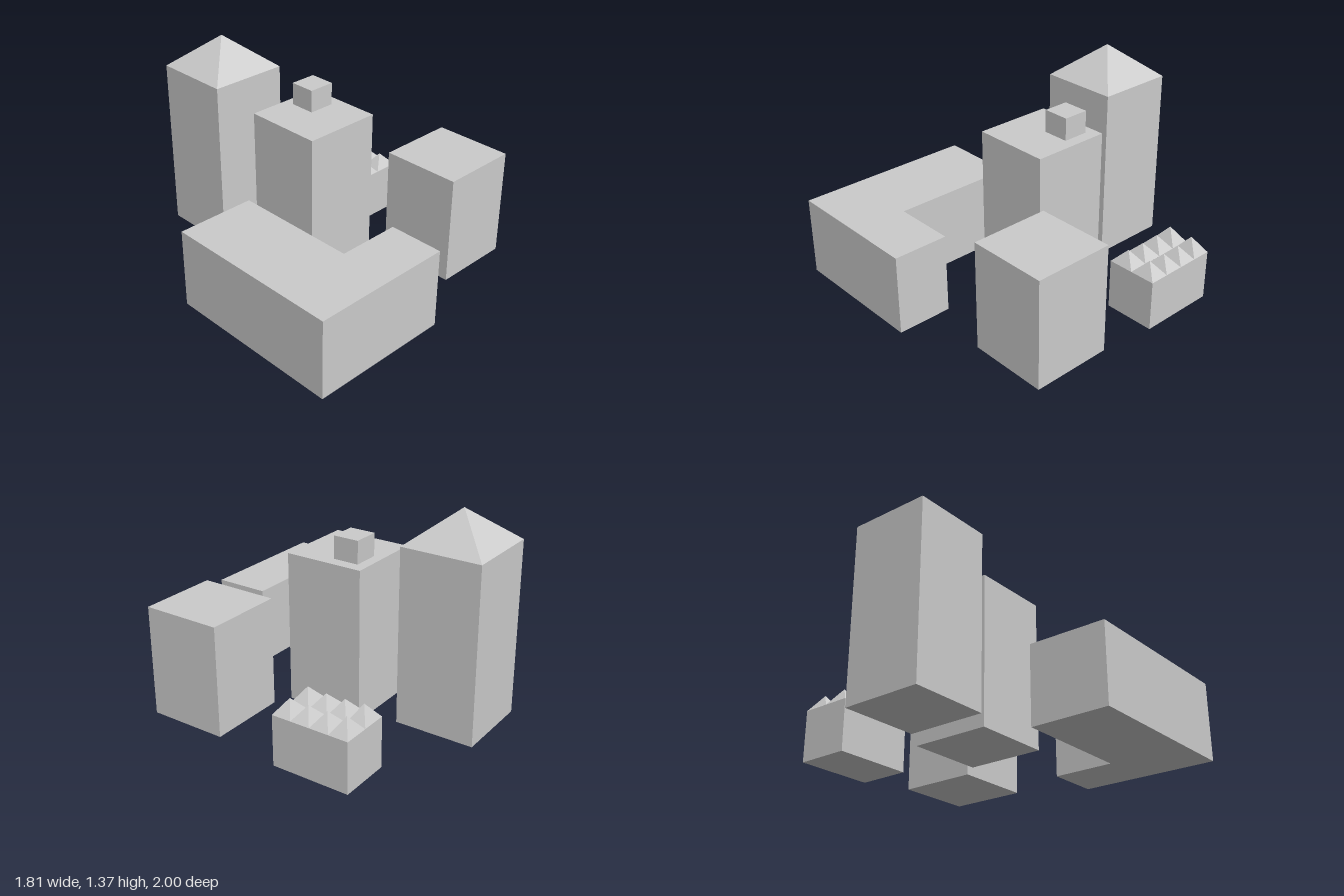
import * as THREE from 'three';

const material = new THREE.MeshStandardMaterial({ color: 0xcccccc, flatShading: true });

function addMesh(parent, name, geometry) {
  const mesh = new THREE.Mesh(geometry, material);
  mesh.name = name;
  parent.add(mesh);
  return mesh;
}

// Box given by its extents on each axis
function block(parent, name, [x0, x1], [y0, y1], [z0, z1]) {
  const mesh = addMesh(parent, name, new THREE.BoxGeometry(x1 - x0, y1 - y0, z1 - z0));
  mesh.position.set((x0 + x1) / 2, (y0 + y1) / 2, (z0 + z1) / 2);
}

// Four-sided roof over a rectangle, from eaves height to apex height
function pyramid(parent, name, [x0, x1], [y0, y1], [z0, z1]) {
  const geometry = new THREE.ConeGeometry(Math.SQRT1_2, 1, 4, 1, true);
  geometry.rotateY(Math.PI / 4);
  geometry.scale(x1 - x0, y1 - y0, z1 - z0);
  const mesh = addMesh(parent, name, geometry);
  mesh.position.set((x0 + x1) / 2, (y0 + y1) / 2, (z0 + z1) / 2);
}

export function createModel() {
  const model = new THREE.Group();
  model.name = 'buildingCluster';

  // Low L-shaped building
  const plan = new THREE.Shape(
    [[-0.905, 1], [0, 1], [0, 0.65], [-0.4, 0.65], [-0.4, -0.15], [-0.905, -0.15]]
      .map(([x, z]) => new THREE.Vector2(x, -z)));
  const wing = new THREE.ExtrudeGeometry(plan, { depth: 0.505, bevelEnabled: false });
  wing.rotateX(-Math.PI / 2);
  addMesh(model, 'lShapedBuilding', wing).position.y = 0.057;

  // Flat-roofed tower with a rooftop hut
  const middle = new THREE.Group();
  middle.name = 'middleTower';
  block(middle, 'middleTowerBody', [-0.2, 0.305], [0.06, 1.015], [-0.315, 0.19]);
  block(middle, 'rooftopHut', [0.06, 0.23], [1.015, 1.157], [-0.25, -0.085]);
  model.add(middle);

  // Tall tower with a pointed roof
  const tall = new THREE.Group();
  tall.name = 'tallTower';
  block(tall, 'tallTowerBody', [-0.33, 0.175], [0.052, 1.157], [-1, -0.495]);
  pyramid(tall, 'tallTowerRoof', [-0.33, 0.175], [1.157, 1.365], [-1, -0.495]);
  model.add(tall);

  // Plain block
  block(model, 'plainBuilding', [0.397, 0.902], [0.05, 0.745], [0.25, 0.757]);

  // Small hall with a 2 by 4 grid of roof pyramids
  const hall = new THREE.Group();
  hall.name = 'smallHall';
  const x0 = 0.572, x1 = 0.902, z0 = -0.647, z1 = -0.142, eaves = 0.323;
  block(hall, 'smallHallBody', [x0, x1], [0, eaves], [z0, z1]);
  const dx = (x1 - x0) / 2, dz = (z1 - z0) / 4;
  const peaks = [0.42, 0.41, 0.405, 0.411];
  for (let i = 0; i < 2; i++) {
    for (let j = 0; j < 4; j++) {
      pyramid(hall, 'roofPeak', [x0 + i * dx, x0 + (i + 1) * dx], [eaves, peaks[j]],
        [z0 + j * dz, z0 + (j + 1) * dz]);
    }
  }
  model.add(hall);

  return model;
}
